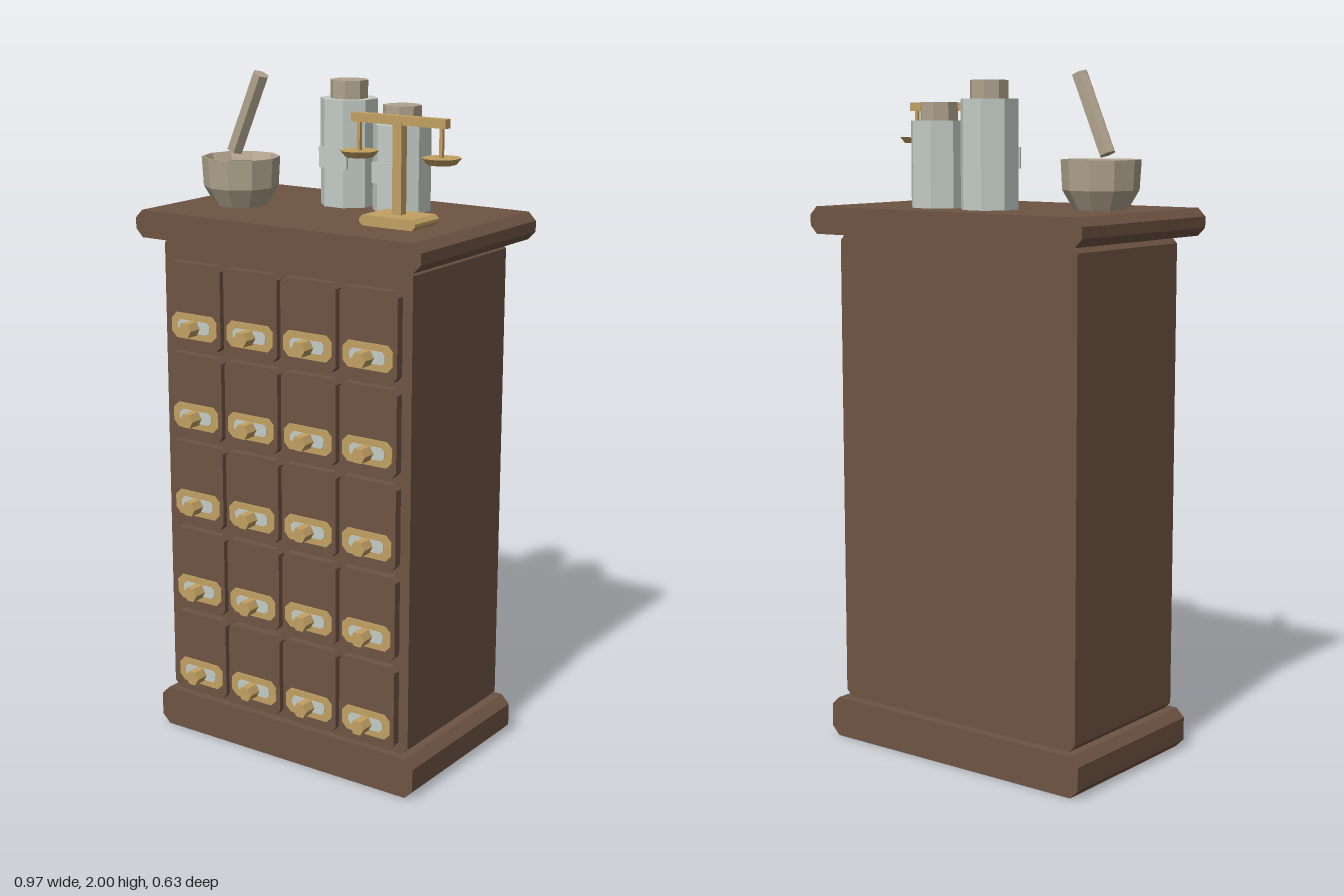
import * as THREE from 'three';

const mat = (name, color) => Object.assign(new THREE.MeshStandardMaterial({ color }), { name });

export function createModel() {
  const wood = mat('brown wood', 0x6e5443);
  const brass = mat('brass', 0xc2a163);
  const glass = mat('pale glass', 0xc3cbc5);
  const stone = mat('tan stone', 0xb0a38d);
  const herb = mat('green herb', 0x4f6b45);

  const root = new THREE.Group();
  root.name = 'apothecaryCabinet';

  const group = (name, parent = root) => {
    const g = new THREE.Group();
    g.name = name;
    parent.add(g);
    return g;
  };

  // Adds a mesh with faceted normals
  const add = (parent, name, geometry, material, x = 0, y = 0, z = 0) => {
    const g = geometry.index ? geometry.toNonIndexed() : geometry;
    g.computeVertexNormals();
    const mesh = new THREE.Mesh(g, material);
    mesh.name = name;
    mesh.position.set(x, y, z);
    parent.add(mesh);
    return mesh;
  };

  // Block whose four front corners are cut by c, centred on the origin
  const chamferBlock = (w, h, d, c) => {
    const a = w / 2, b = h / 2;
    const pts = [[a - c, -b], [a, c - b], [a, b - c], [a - c, b],
      [c - a, b], [-a, b - c], [-a, c - b], [c - a, -b]];
    const shape = new THREE.Shape(pts.map(p => new THREE.Vector2(...p)));
    return new THREE.ExtrudeGeometry(shape, { depth: d, bevelEnabled: false }).translate(0, 0, -d / 2);
  };

  // Octagonal prism measured across its flats, with flats facing x and z
  const octagon = (top, bottom, h) => {
    const k = 0.5 / Math.cos(Math.PI / 8);
    return new THREE.CylinderGeometry(top * k, bottom * k, h, 8, 1, false, Math.PI / 8);
  };

  // Cabinet carcass
  const cx = -0.002;
  add(root, 'plinth', chamferBlock(0.92, 0.12, 0.546, 0.026), wood, cx, 0.06, -0.008);
  add(root, 'cabinetBody', chamferBlock(0.854, 1.41, 0.49, 0.02), wood, cx, 0.825, -0.005);
  add(root, 'topSlab', chamferBlock(0.972, 0.08, 0.61, 0.024), wood, cx, 1.57, -0.009);

  // Drawers with brass label holders and hexagonal knobs
  const drawers = group('drawers');
  const drawerGeo = chamferBlock(0.188, 0.25, 0.03, 0.015);
  const holderGeo = chamferBlock(0.164, 0.075, 0.006, 0.018);
  const cardGeo = chamferBlock(0.116, 0.036, 0.003, 0.01);
  const knobGeo = new THREE.CylinderGeometry(0.0235, 0.0235, 0.05, 6, 1, false, Math.PI / 6).rotateX(Math.PI / 2);
  for (let row = 0; row < 5; row++) {
    for (let col = 0; col < 4; col++) {
      const d = group('drawer', drawers);
      d.position.set(cx + (col - 1.5) * 0.201, 0.263 + row * 0.2695, 0);
      add(d, 'drawerFront', drawerGeo, wood, 0, 0, 0.25);
      add(d, 'labelHolder', holderGeo, brass, 0, -0.061, 0.266);
      add(d, 'labelCard', cardGeo, glass, 0, -0.061, 0.27);
      add(d, 'knob', knobGeo, brass, 0, -0.063, 0.288);
    }
  }

  // Mortar: ten-sided bowl filled with ground herbs, and its pestle
  const mortar = group('mortarAndPestle');
  mortar.position.set(-0.294, 1.61, 0.05);
  const bowl = [[0, 0], [0.077, 0], [0.109, 0.055], [0.114, 0.14], [0.108, 0.14], [0.088, 0.105]]
    .map(p => new THREE.Vector2(...p));
  add(mortar, 'bowl', new THREE.LatheGeometry(bowl, 10, Math.PI / 10), stone);
  add(mortar, 'groundHerbs', new THREE.CylinderGeometry(0.092, 0.088, 0.008, 10, 1, false, Math.PI / 10), herb, 0, 0.11, 0);
  const pestle = add(mortar, 'pestle',
    new THREE.CylinderGeometry(0.0245, 0.0245, 0.245, 6, 1, false, Math.PI / 6), stone, 0.027, 0.267, 0);
  pestle.rotation.z = -0.41;

  // Two octagonal jars: x, height, label centre height
  for (const [x, h, labelY] of [[-0.038, 0.308, 0.143], [0.145, 0.247, 0.113]]) {
    const jar = group('jar');
    jar.position.set(x, 1.61, -0.132);
    add(jar, 'jarBody', octagon(0.156, 0.156, h), glass, 0, h / 2, 0);
    add(jar, 'jarLid', octagon(0.103, 0.103, 0.052), stone, 0, h + 0.026, 0);
    add(jar, 'jarLabel', new THREE.BoxGeometry(0.098, 0.06, 0.006), glass, 0, labelY, 0.08);
  }

  // Balance scale
  const scale = group('balanceScale');
  scale.position.set(0.279, 1.61, 0.087);
  add(scale, 'scaleBase', chamferBlock(0.182, 0.03, 0.122, 0.011), brass, 0, 0.015, 0);
  add(scale, 'scalePost', new THREE.BoxGeometry(0.029, 0.26, 0.027), brass, 0, 0.155, 0);
  add(scale, 'scaleBeam', new THREE.BoxGeometry(0.304, 0.025, 0.025), brass, 0, 0.286, -0.001);
  for (const side of [-1, 1]) {
    add(scale, 'panHanger', new THREE.BoxGeometry(0.01, 0.1, 0.01), brass, side * 0.133, 0.235, -0.001);
    add(scale, 'scalePan', octagon(0.103, 0.074, 0.018), brass, side * 0.133, 0.186, -0.001);
  }

  return root;
}
